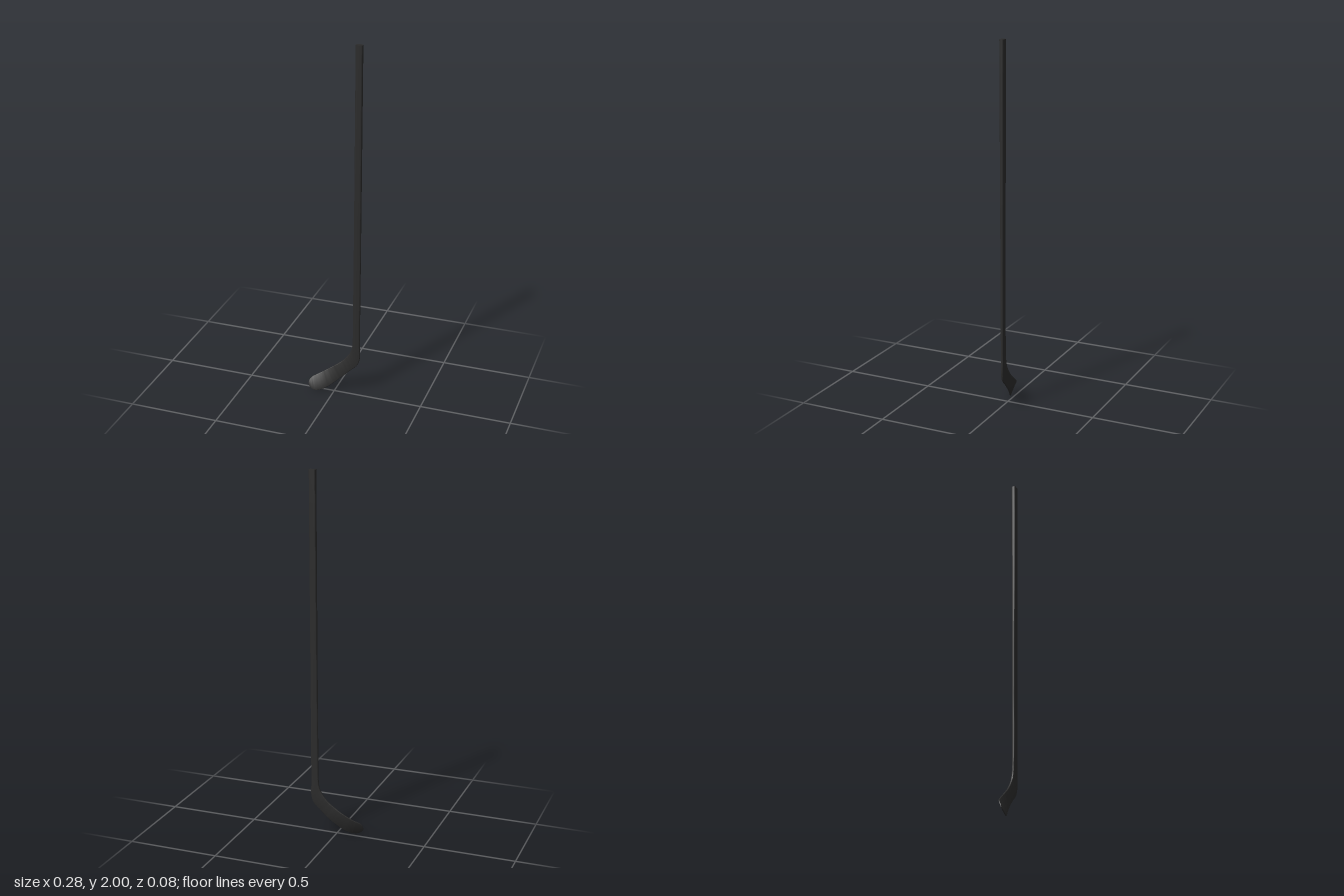
import * as THREE from 'three';
import { toCreasedNormals } from 'three/addons/utils/BufferGeometryUtils.js';

// Stations from butt to toe: outer edge (x, y, z), inner edge (x, y, z), thickness
const STATIONS = [
  [0.140, 2.00, -0.029, 0.104, 2.00, -0.029, 0.023],
  [0.139, 1.00, -0.029, 0.101, 1.00, -0.029, 0.017],
  [0.138, 0.40, -0.029, 0.098, 0.40, -0.029, 0.014],
  [0.138, 0.30, -0.029, 0.097, 0.32, -0.030, 0.013],
  [0.1375, 0.21, -0.029, 0.093, 0.275, -0.031, 0.012],
  [0.124, 0.172, -0.028, 0.080, 0.240, -0.031, 0.011],
  [0.087, 0.135, -0.026, 0.045, 0.193, -0.029, 0.010],
  [0.045, 0.093, -0.022, 0.000, 0.155, -0.024, 0.009],
  [0.008, 0.060, -0.012, -0.034, 0.130, -0.020, 0.008],
  [-0.045, 0.018, 0.008, -0.080, 0.100, -0.010, 0.007],
  [-0.070, 0.006, 0.019, -0.100, 0.088, -0.003, 0.006],
  [-0.098, 0.001, 0.031, -0.122, 0.076, 0.006, 0.006],
  [-0.118, 0.006, 0.034, -0.135, 0.065, 0.014, 0.006],
  [-0.134, 0.018, 0.032, -0.142, 0.050, 0.022, 0.005],
  [-0.142, 0.030, 0.029, -0.1435, 0.040, 0.026, 0.004],
];
const LAST = STATIONS.length - 1;
const edgeCurve = (k) => new THREE.CatmullRomCurve3(
  STATIONS.map((s) => new THREE.Vector3(s[k], s[k + 1], s[k + 2])));
const outer = edgeCurve(0);
const inner = edgeCurve(3);

const middle = (u) => outer.getPoint(u).add(inner.getPoint(u)).multiplyScalar(0.5);

// Rounded-rectangle cross-section at station number s (may be fractional)
function section(s) {
  const u = s / LAST;
  const i = Math.min(Math.floor(s), LAST - 1);
  const half = THREE.MathUtils.lerp(STATIONS[i][6], STATIONS[i + 1][6], s - i) / 2;
  const centre = middle(u);
  const across = outer.getPoint(u).sub(inner.getPoint(u));
  const halfWidth = across.length() / 2;
  across.normalize();
  const along = middle(Math.min(1, u + 0.002)).sub(middle(Math.max(0, u - 0.002)));
  const normal = along.cross(across).normalize();
  const r = Math.min(0.005, half * 0.75, halfWidth * 0.9);
  const ring = [];
  for (let c = 0; c < 4; c++) {
    const sx = c === 0 || c === 3 ? 1 : -1;
    const sy = c < 2 ? 1 : -1;
    for (let k = 0; k <= 3; k++) {
      const a = (c + k / 3) * Math.PI / 2;
      ring.push(centre.clone()
        .addScaledVector(across, sx * (halfWidth - r) + r * Math.cos(a))
        .addScaledVector(normal, sy * (half - r) + r * Math.sin(a)));
    }
  }
  return { centre, ring };
}

// Skin the cross-sections between two stations
function loft(from, to, steps, capStart, capEnd) {
  const positions = [];
  const index = [];
  const n = 16;
  const push = (p) => positions.push(p.x, p.y, p.z);
  const sections = [];
  for (let i = 0; i <= steps; i++) {
    const sec = section(from + (to - from) * i / steps);
    sections.push(sec);
    sec.ring.forEach(push);
  }
  for (let i = 0; i < steps; i++) {
    for (let j = 0; j < n; j++) {
      const a = i * n + j;
      const b = i * n + (j + 1) % n;
      index.push(a, b, a + n, b, b + n, a + n);
    }
  }
  const cap = (row, flip) => {
    const c = positions.length / 3;
    push(sections[row].centre);
    for (let j = 0; j < n; j++) {
      const a = row * n + j;
      const b = row * n + (j + 1) % n;
      if (flip) index.push(c, b, a);
      else index.push(c, a, b);
    }
  };
  if (capStart) cap(0, true);
  if (capEnd) cap(steps, false);
  const geometry = new THREE.BufferGeometry();
  geometry.setAttribute('position', new THREE.Float32BufferAttribute(positions, 3));
  geometry.setIndex(index);
  return toCreasedNormals(geometry, 0.7);
}

export function createModel() {
  const group = new THREE.Group();
  group.name = 'hockeyStick';
  const black = new THREE.MeshStandardMaterial({ color: 0x2b2b2b });
  black.name = 'charcoal black';

  // Long tapering shaft, capped at the butt
  const shaft = new THREE.Mesh(loft(0, 3, 18, true, false), black);
  shaft.name = 'shaft';

  // Heel and curved, lofted blade, capped at the toe
  const blade = new THREE.Mesh(loft(3, LAST, 66, false, true), black);
  blade.name = 'blade';

  group.add(shaft, blade);
  return group;
}
